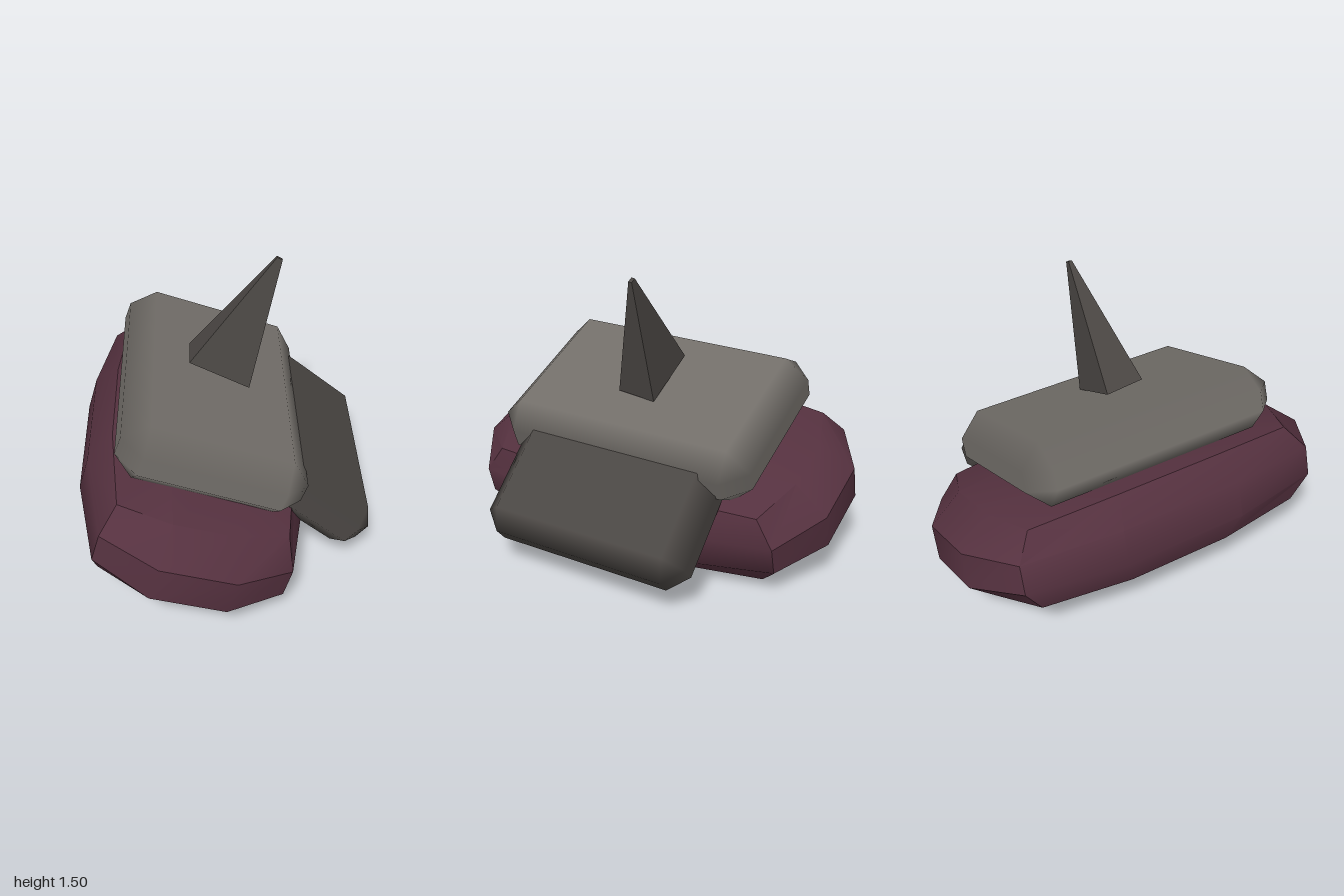
import * as THREE from 'three';
import { toCreasedNormals } from 'three/addons/utils/BufferGeometryUtils.js';
import { ConvexGeometry } from 'three/addons/geometries/ConvexGeometry.js';

const mat = (name, color) => {
  const m = new THREE.MeshStandardMaterial({ color });
  m.name = name;
  return m;
};

// Rounded lump: a 3x3x3 box whose edges and corners are pulled towards the centre
function lumpGeometry(hx, hy, hz) {
  const geo = new THREE.BoxGeometry(2, 2, 2, 3, 3, 3);
  const pos = geo.attributes.position;
  const pull = [1, 1, 0.836, 0.745]; // by number of outer coordinates
  const v = new THREE.Vector3();
  for (let i = 0; i < pos.count; i++) {
    v.fromBufferAttribute(pos, i);
    const outer = v.toArray().filter((c) => Math.abs(c) > 0.9).length;
    v.multiplyScalar(pull[outer]);
    pos.setXYZ(i, v.x * hx, v.y * hy, v.z * hz);
  }
  return toCreasedNormals(geo, 0.65);
}

// Chamfered slab: flat panels with bevels shaded smoothly between them
function slabGeometry(hx, hy, hz, bevel) {
  const half = [hx, hy, hz];
  const points = [];
  for (const sx of [-1, 1]) for (const sy of [-1, 1]) for (const sz of [-1, 1]) {
    const s = [sx, sy, sz];
    for (let axis = 0; axis < 3; axis++) {
      points.push(new THREE.Vector3(...s.map((k, i) => k * (half[i] - (i === axis ? 0 : bevel)))));
    }
  }
  const geo = new ConvexGeometry(points);
  const pos = geo.attributes.position;
  for (let i = 0; i < pos.count; i++) {
    const p = [pos.getX(i), pos.getY(i), pos.getZ(i)];
    const n = p.map((c, k) => (Math.abs(c) > half[k] - bevel / 2 ? Math.sign(c) : 0));
    geo.attributes.normal.setXYZ(i, ...n);
  }
  return geo;
}

// Tapered four-sided spike, narrowing to a tiny flat tip
function spikeGeometry(width, height, depth, tip) {
  const geo = new THREE.BoxGeometry(width, height, depth).toNonIndexed();
  geo.translate(0, height / 2, 0);
  const pos = geo.attributes.position;
  for (let i = 0; i < pos.count; i++) {
    if (pos.getY(i) > height / 2) {
      pos.setX(i, pos.getX(i) * tip);
      pos.setZ(i, pos.getZ(i) * tip);
    }
  }
  geo.computeVertexNormals();
  return geo;
}

export function createModel() {
  const model = new THREE.Group();
  model.name = 'model';
  const maroon = mat('maroon', 0x55313f);
  const grey = mat('warmGrey', 0x726e69);
  const dark = mat('darkGrey', 0x4a4643);

  const add = (name, geo, material, x, y, tilt, lean = 0) => {
    const mesh = new THREE.Mesh(geo, material);
    mesh.name = name;
    mesh.position.set(x, y, 0);
    mesh.rotation.set(lean, 0, THREE.MathUtils.degToRad(tilt));
    model.add(mesh);
  };

  add('body', lumpGeometry(0.562, 0.278, 1), maroon, -0.165, 0.355, -16);
  add('topPlate', slabGeometry(0.465, 0.163, 0.7, 0.114), grey, -0.065, 0.73, -19.6);
  add('sidePlate', slabGeometry(0.311, 0.139, 0.56, 0.093), dark, 0.456, 0.401, -40.5);
  add('spike', spikeGeometry(0.33, 0.65, 0.2, 0.09), dark, -0.02, 0.917, -26.7, -0.098);

  return model;
}
